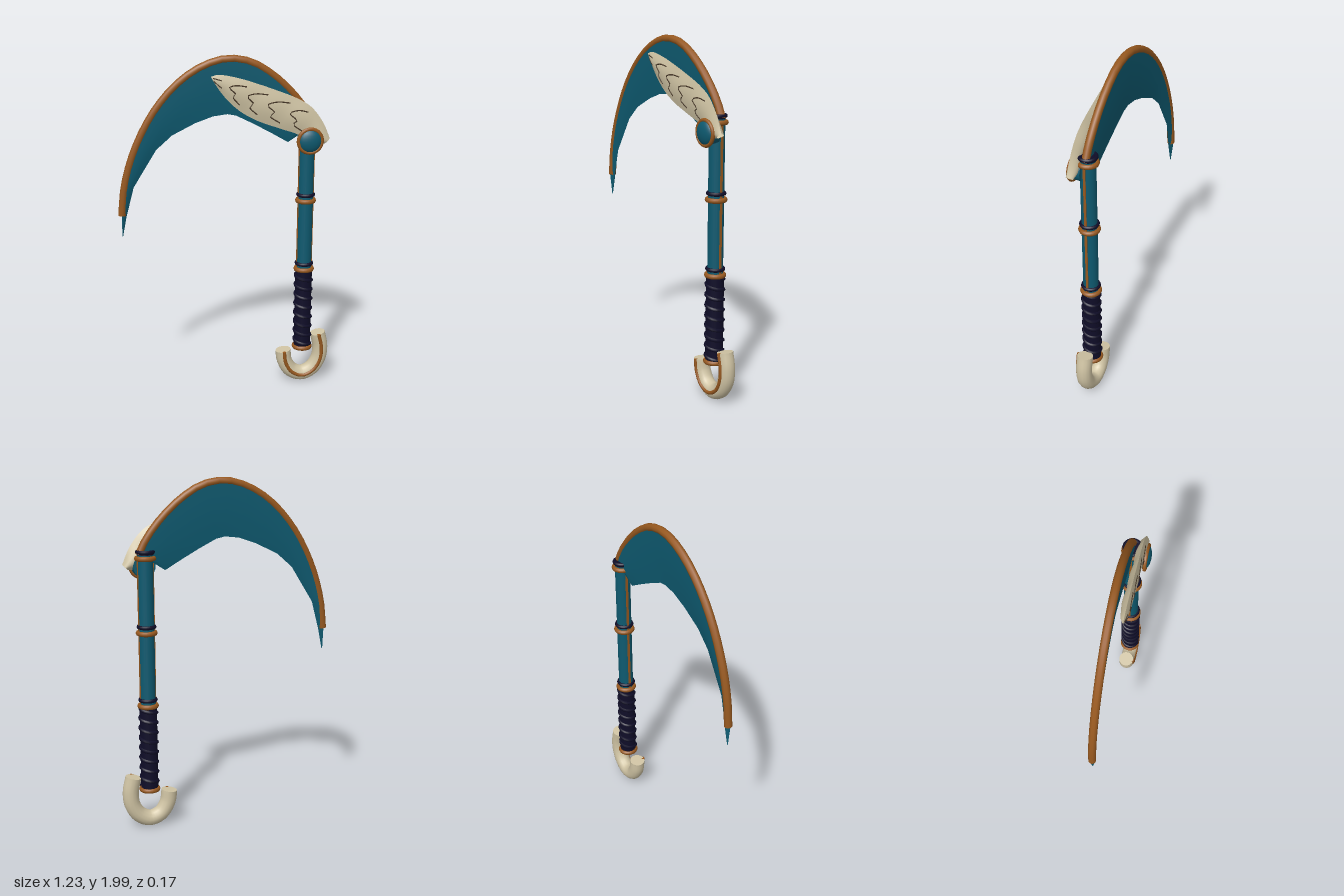
import * as THREE from 'three';

const mat = (name, color, side = THREE.FrontSide) => {
  const m = new THREE.MeshStandardMaterial({ color, side });
  m.name = name;
  return m;
};
const AX = 0.455, AZ = -0.018; // shaft axis

export function createModel() {
  const root = new THREE.Group();
  const teal = mat('teal', 0x0e5a70, THREE.DoubleSide);
  const bronze = mat('bronze', 0x96581f);
  const ivory = mat('ivory', 0xd0c4a4, THREE.DoubleSide);
  const navy = mat('navy', 0x0f0d28);
  const groove = mat('groove brown', 0x4a3a2a);

  const add = (name, geo, material, x = 0, y = 0, z = 0, parent = root) => {
    const m = new THREE.Mesh(geo, material);
    m.name = name;
    m.position.set(x, y, z);
    parent.add(m);
    return m;
  };
  const curve = (pts, z) => new THREE.CatmullRomCurve3(pts.map(p => new THREE.Vector3(p[0], p[1], p[2] ?? z)));

  // Tube with flat end caps
  const tube = (name, path, radius, material, steps = 40, sides = 12) => {
    const g = new THREE.Group();
    g.name = name;
    add(name + 'Body', new THREE.TubeGeometry(path, steps, radius, sides), material, 0, 0, 0, g);
    for (const t of [0, 1]) {
      const p = path.getPointAt(t), d = path.getTangentAt(t).multiplyScalar(t ? 1 : -1);
      const cap = add(name + 'Cap', new THREE.CircleGeometry(radius, sides), material, p.x, p.y, p.z, g);
      cap.lookAt(p.clone().add(d));
    }
    root.add(g);
  };

  // Smooth surface through a grid of points f(i, j)
  const sheet = (n, m, f, flip) => {
    const pos = [], idx = [];
    for (let i = 0; i <= n; i++) for (let j = 0; j <= m; j++) pos.push(...f(i, j));
    for (let i = 0; i < n; i++) for (let j = 0; j < m; j++) {
      const a = i * (m + 1) + j, b = a + 1, c = a + m + 1, d = c + 1;
      idx.push(...(flip ? [a, c, b, b, c, d] : [a, b, c, b, d, c]));
    }
    const g = new THREE.BufferGeometry();
    g.setAttribute('position', new THREE.Float32BufferAttribute(pos, 3));
    g.setIndex(idx);
    g.computeVertexNormals();
    return g;
  };

  // Curved blade: thick spine tapering to a sharp inner edge
  const outer = [[-0.602, 0.985], [-0.6, 1.11], [-0.58, 1.28], [-0.52, 1.48], [-0.41, 1.69], [-0.27, 1.85],
    [-0.13, 1.94], [0, 1.975], [0.13, 1.955], [0.25, 1.885], [0.36, 1.785], [0.45, 1.67], [0.49, 1.59]];
  const inner = [[-0.598, 0.985], [-0.575, 1.1], [-0.53, 1.27], [-0.4, 1.48], [-0.31, 1.56], [-0.18, 1.625],
    [-0.08, 1.66], [0, 1.67], [0.05, 1.66], [0.15, 1.61], [0.25, 1.555], [0.345, 1.5], [0.41, 1.545]];
  const bladePoint = side => (i, j) => {
    const t = j / 4, k = i === 0 ? 0.1 : 1;
    return [outer[i][0] + (inner[i][0] - outer[i][0]) * t, outer[i][1] + (inner[i][1] - outer[i][1]) * t,
      -0.022 + side * k * 0.017 * (1 - t * t)];
  };
  add('bladeFront', sheet(outer.length - 1, 4, bladePoint(1), true), teal);
  add('bladeBack', sheet(outer.length - 1, 4, bladePoint(-1), false), teal);
  tube('bladeRim', curve(outer.slice(1), -0.022), 0.022, bronze, 26, 10);

  // Shaft with a bronze strip on each side
  add('shaft', new THREE.CylinderGeometry(0.043, 0.043, 0.87, 20), teal, AX, 1.165, AZ);
  for (const s of [-1, 1]) add('shaftStrip', new THREE.BoxGeometry(0.008, 0.82, 0.014), bronze, AX + s * 0.042, 1.15, AZ);
  add('shaftTop', new THREE.CylinderGeometry(0.046, 0.046, 0.02, 20), navy, AX, 1.6, AZ);

  // Collars
  const ring = (name, y, r, t, material) => {
    add(name, new THREE.TorusGeometry(r, t, 8, 24), material, AX, y, AZ).rotation.x = Math.PI / 2;
  };
  for (const y of [0.235, 0.735, 1.155, 1.57]) ring('collar', y, 0.047, 0.014, bronze);
  for (const y of [0.77, 1.19, 1.605]) ring('collarBand', y, 0.044, 0.011, navy);

  // Wrapped grip
  add('grip', new THREE.CylinderGeometry(0.049, 0.049, 0.51, 20), navy, AX, 0.485, AZ);
  const wrap = [];
  for (let i = 0; i <= 96; i++) {
    const a = i / 12 * Math.PI * 2;
    wrap.push([AX + 0.047 * Math.cos(a), 0.25 + i * 0.0049, AZ + 0.047 * Math.sin(a)]);
  }
  add('gripWrap', new THREE.TubeGeometry(curve(wrap), 160, 0.011, 6), navy);

  // Pommel hook and its inlay
  const hook = [[0.34, 0.215], [0.35, 0.145], [0.39, 0.08], [0.455, 0.055], [0.52, 0.085], [0.56, 0.15], [0.568, 0.23], [0.55, 0.317]];
  tube('hook', curve(hook, AZ - 0.002), 0.046, ivory, 28, 14);
  tube('hookInlay', curve(hook, 0.022), 0.011, bronze, 28, 8);

  // Feathered wing, scalloped along its length
  const top = [[-0.1, 1.89], [-0.06, 1.9], [0.05, 1.88], [0.16, 1.845], [0.27, 1.805], [0.38, 1.76], [0.46, 1.71], [0.53, 1.62], [0.57, 1.53]];
  const low = [[-0.09, 1.87], [-0.05, 1.81], [0, 1.75], [0.07, 1.69], [0.16, 1.64], [0.28, 1.595], [0.4, 1.55], [0.46, 1.5], [0.54, 1.5]];
  const topCurve = curve(top, 0), lowCurve = curve(low, 0);
  const wingPoint = (s, u, side) => {
    const p = topCurve.getPoint(s).lerp(lowCurve.getPoint(s), u);
    const bulge = Math.sin(Math.PI * u) * Math.min(1, s * 4 + 0.15);
    const scallop = 0.8 + 0.2 * Math.abs(Math.sin(s * Math.PI * 5));
    return [p.x, p.y, 0.043 + side * bulge * scallop * (side > 0 ? 0.016 : 0.036)];
  };
  const wing = side => (i, j) => wingPoint(i / 32, j / 10, side);
  add('wingFront', sheet(32, 10, wing(1), true), ivory);
  add('wingBack', sheet(32, 10, wing(-1), false), ivory);

  // Feather tips drawn as raised chevron lines
  for (let k = 0; k < 4; k++) {
    const s = 0.24 + k * 0.14;
    const line = [[s + 0.08, 0.2], [s + 0.01, 0.3], [s - 0.03, 0.48], [s + 0.03, 0.6], [s + 0.02, 0.74], [s + 0.09, 0.84]];
    add('featherLine', new THREE.TubeGeometry(curve(line.map(([a, u]) => wingPoint(a, u, 1))), 14, 0.0035, 5), groove);
  }
  for (const u of [0.3, 0.7]) {
    const line = [0.03, 0.07, 0.11, 0.15].map(s => wingPoint(s, u, 1));
    add('featherLine', new THREE.TubeGeometry(curve(line), 8, 0.003, 5), groove);
  }

  // Hinge boss at the wing root
  add('hingePin', new THREE.CylinderGeometry(0.062, 0.062, 0.06, 24), teal, AX, 1.52, 0.03).rotation.x = Math.PI / 2;
  add('hingeDome', new THREE.SphereGeometry(0.066, 24, 12), teal, AX, 1.52, 0.057).scale.z = 0.45;
  add('hingeRing', new THREE.TorusGeometry(0.067, 0.011, 8, 28), bronze, AX, 1.52, 0.06);

  return root;
}
